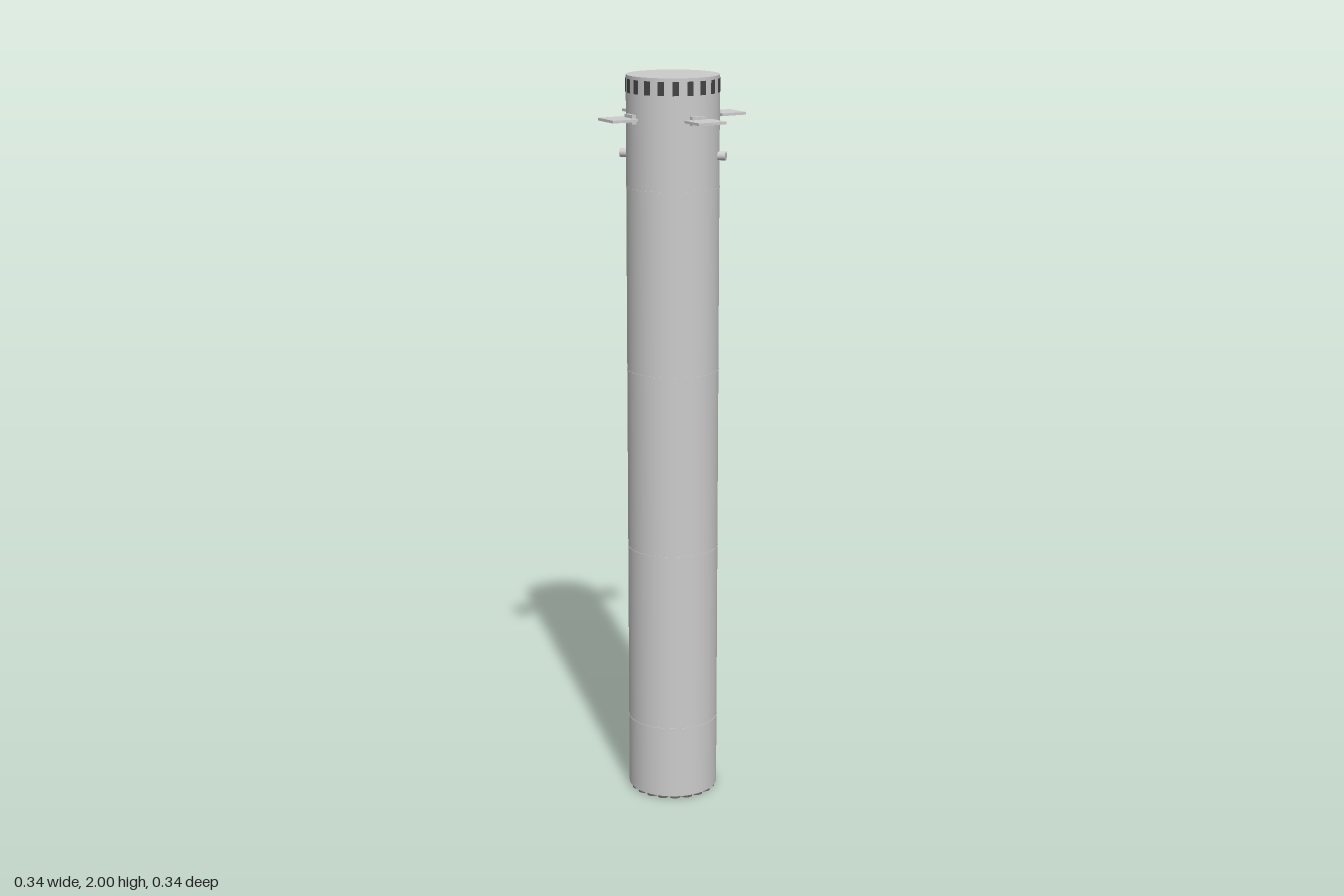
import * as THREE from 'three';

const R = 0.1235, TOP = 2, BASE = 0.008;

export function createModel() {
  const model = new THREE.Group();
  model.name = 'boosterStage';
  const grey = new THREE.MeshStandardMaterial({ color: 0xcccccc });
  const greyOpen = new THREE.MeshStandardMaterial({ color: 0xcccccc, side: THREE.DoubleSide });
  const dark = new THREE.MeshStandardMaterial({ color: 0x444444 });
  const nozzleMat = new THREE.MeshStandardMaterial({ color: 0x666260, side: THREE.DoubleSide });

  const add = (name, geometry, material, x = 0, y = 0, z = 0, parent = model) => {
    const mesh = new THREE.Mesh(geometry, material);
    mesh.name = name;
    mesh.position.set(x, y, z);
    parent.add(mesh);
    return mesh;
  };
  // Group turned so that its +z axis points outward at the given angle
  const spoke = (name, angle) => {
    const group = new THREE.Group();
    group.name = name;
    group.rotation.y = angle;
    model.add(group);
    return group;
  };

  // Tank body, open at the engine skirt, with top lid and recessed bulkhead
  add('tankBody', new THREE.CylinderGeometry(R, R, TOP - BASE, 64, 1, true), greyOpen, 0, (TOP + BASE) / 2);
  add('topLid', new THREE.CylinderGeometry(R, R, 0.006, 64), grey, 0, TOP - 0.003);
  add('engineBulkhead', new THREE.CylinderGeometry(R - 0.001, R - 0.001, 0.006, 64), grey, 0, 0.043);

  // Thin weld rings
  for (const y of [0.21, 0.71, 1.21, 1.705]) {
    add('weldRing', new THREE.CylinderGeometry(R + 0.001, R + 0.001, 0.004, 64), grey, 0, y);
  }

  // Vent slots around the upper rim
  const slots = 20;
  for (let i = 0; i < slots; i++) {
    const vent = spoke('ventSlot', (i / slots) * Math.PI * 2);
    add('ventPanel', new THREE.BoxGeometry(0.017, 0.036, 0.006), dark, 0, 1.973, R - 0.002, vent);
  }

  // Four steering fins on the diagonals
  for (let i = 0; i < 4; i++) {
    const fin = spoke('steeringFin', Math.PI / 4 + i * Math.PI / 2);
    add('finPlate', new THREE.BoxGeometry(0.081, 0.007, 0.0735), grey, 0, 1.89, 0.1645, fin);
    add('finMount', new THREE.BoxGeometry(0.04, 0.024, 0.02), grey, 0, 1.89, 0.124, fin);
  }

  // Round lifting pins on both sides
  for (const side of [1, -1]) {
    const pin = add('liftingPin', new THREE.CylinderGeometry(0.0115, 0.0115, 0.026, 20), grey, side * 0.131, 1.79);
    pin.rotation.z = Math.PI / 2;
  }

  // Cable duct down the back
  add('cableDuct', new THREE.BoxGeometry(0.016, 1.84, 0.012), dark, 0, 0.98, -0.126);

  // Engine nozzles in three concentric rings
  const bell = [[0.006, 0.042], [0.007, 0.032], [0.0115, 0.018], [0.0145, 0.007], [0.0155, 0]];
  const bellGeometry = new THREE.LatheGeometry(bell.map(([r, y]) => new THREE.Vector2(r, y)), 20);
  for (const [count, radius] of [[3, 0.026], [10, 0.066], [20, 0.105]]) {
    for (let i = 0; i < count; i++) {
      const a = (i / count) * Math.PI * 2;
      add('engineNozzle', bellGeometry, nozzleMat, Math.sin(a) * radius, 0, Math.cos(a) * radius);
    }
  }
  return model;
}
